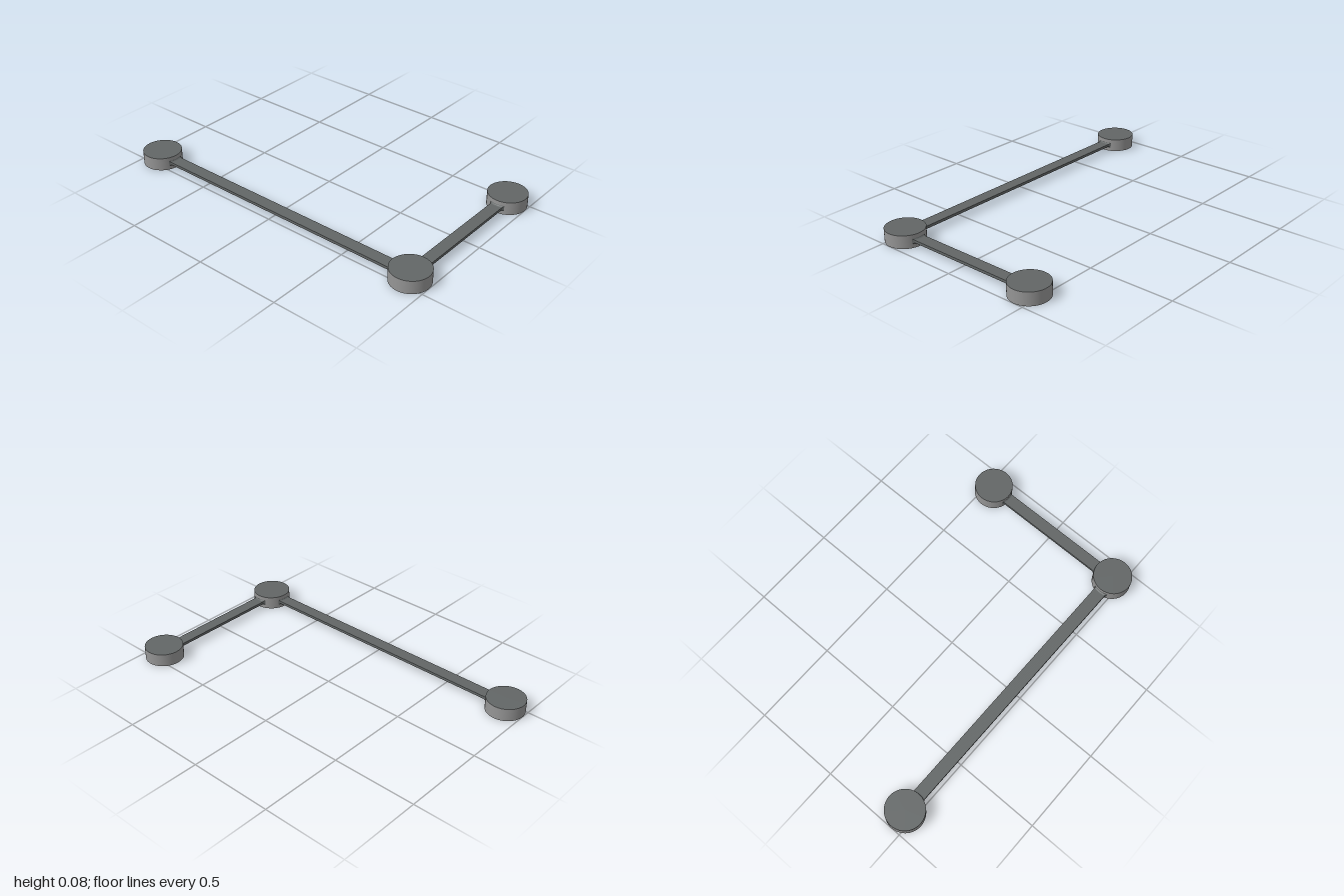
import * as THREE from 'three';

const R = 0.111, H = 0.076, REACH = 0.889, DEPTH = 0.445; // disc size and centre positions
const THICK = 0.016, FILLET = 0.011;

const darkGrey = new THREE.MeshStandardMaterial({ color: 0x626666 });
const lightGrey = new THREE.MeshStandardMaterial({ color: 0x959595 });

// Disc with a light rim and dark caps
function disc(name, x, z) {
  const mesh = new THREE.Mesh(new THREE.CylinderGeometry(R, R, H, 72), [lightGrey, darkGrey, darkGrey]);
  mesh.name = name;
  mesh.position.set(x, H / 2, z);
  return mesh;
}

// Flat bar along x between two discs, flaring into a small fillet against each rim
function bar(name, span, width) {
  const steps = 6, half = span / 2;
  const geo = new THREE.BoxGeometry(2, 1, 1, 2 * steps + 1, 1, 8).toNonIndexed();
  const p = geo.attributes.position;
  for (let i = 0; i < p.count; i++) {
    const station = Math.round((p.getX(i) + 1) / 2 * (2 * steps + 1));
    const side = station <= steps ? -1 : 1;
    const k = Math.min(station, 2 * steps + 1 - station);
    const angle = (k / steps) * Math.PI / 2;
    const gap = FILLET * (1 - Math.cos(angle)); // distance out from the rim
    const flare = FILLET * (1 - Math.sin(angle)); // growth of the section there
    const z = p.getZ(i) * (width + 2 * flare);
    const fromCentre = Math.sqrt((R - 0.0005 + gap) ** 2 - z * z);
    p.setXYZ(i, side * (half - fromCentre), p.getY(i) * (THICK + 2 * flare), z);
  }
  geo.computeVertexNormals();
  const mesh = new THREE.Mesh(geo, darkGrey);
  mesh.name = name;
  return mesh;
}

export function createModel() {
  const model = new THREE.Group();
  model.name = 'linkedDiscs';

  model.add(
    disc('rightDisc', -REACH, DEPTH),
    disc('cornerDisc', REACH, DEPTH),
    disc('backDisc', REACH, -DEPTH)
  );

  const longBar = bar('longBar', 2 * REACH, 0.073);
  longBar.position.set(0, H / 2, DEPTH);

  const shortBar = bar('shortBar', 2 * DEPTH, 0.07);
  shortBar.position.set(REACH, H / 2, 0);
  shortBar.rotation.y = Math.PI / 2;

  model.add(longBar, shortBar);
  return model;
}
